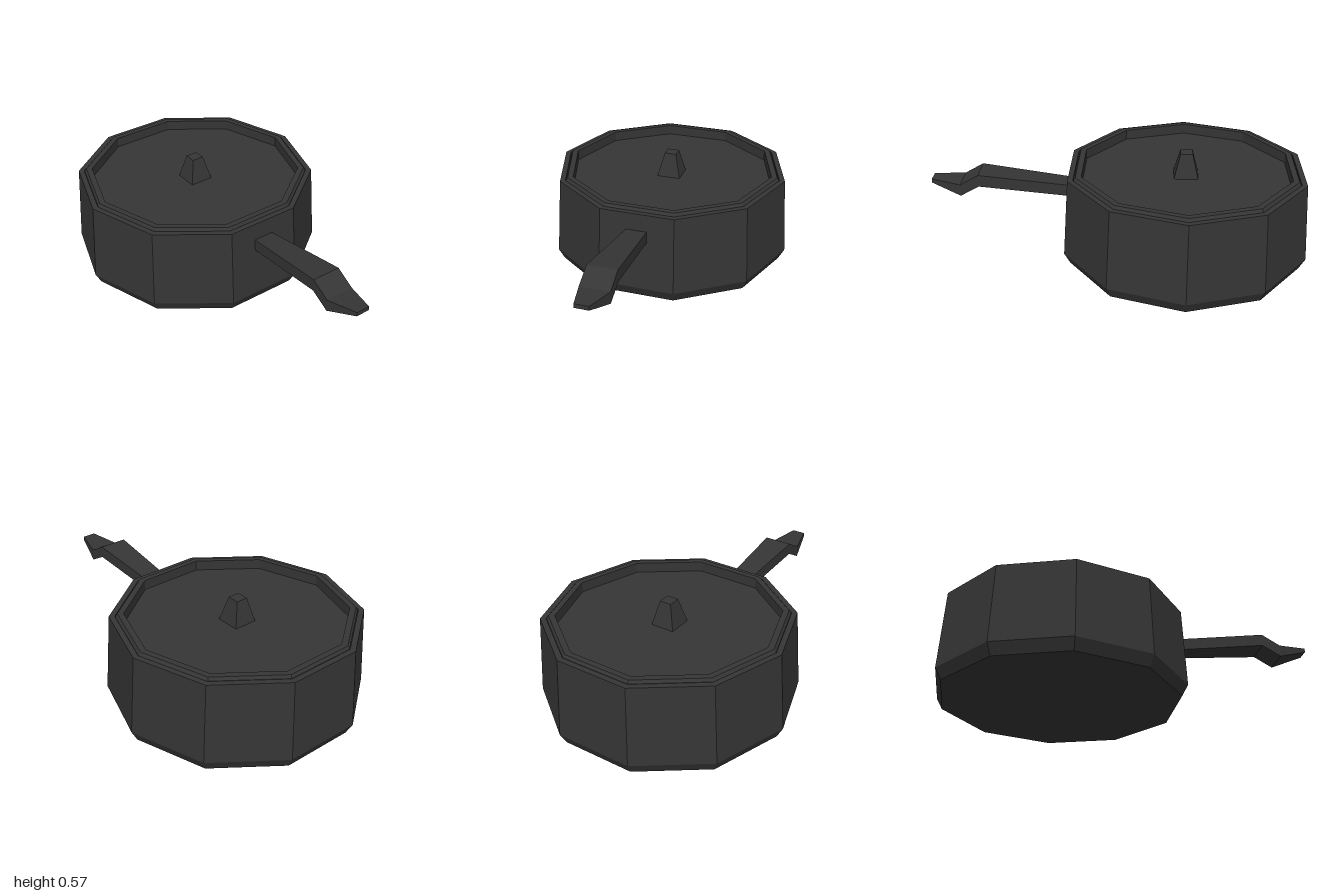
import * as THREE from 'three';

const POT_X = -0.36;

export function createModel() {
  const model = new THREE.Group();
  model.name = 'saucepan';
  const iron = new THREE.MeshStandardMaterial({ color: 0x353535, flatShading: true });
  iron.name = 'dark iron';

  const add = (name, geometry, x = 0, y = 0) => {
    const mesh = new THREE.Mesh(geometry, iron);
    mesh.name = name;
    mesh.position.set(x, y, 0);
    model.add(mesh);
  };
  // Ten-sided turned part from [radius, height] pairs
  const turned = (profile) =>
    new THREE.LatheGeometry(profile.map(([r, y]) => new THREE.Vector2(r, y)), 10);

  // Pot: chamfered foot, tapering wall and a flat lip
  add('pot', turned([
    [0, 0], [0.64, 0], [0.672, 0.06], [0.645, 0.485], [0.615, 0.485], [0.615, 0.44],
  ]), POT_X);

  // Lid: raised rim around a sunken plate
  add('lid', turned([
    [0.614, 0.44], [0.612, 0.485], [0.602, 0.5], [0.57, 0.5], [0.57, 0.445], [0, 0.445],
  ]), POT_X);

  // Knob: square, tapering upwards
  const knob = new THREE.CylinderGeometry(0.032 * Math.SQRT2, 0.064 * Math.SQRT2, 0.13, 4);
  knob.rotateY(Math.PI / 4);
  add('lidKnob', knob, POT_X, 0.51);

  // Handle: rectangular sections of [x, bottom, top, half width]
  const sections = [
    [0.24, 0.327, 0.39, 0.055],
    [0.74, 0.385, 0.45, 0.078],
    [0.84, 0.328, 0.392, 0.078],
    [1.0, 0.383, 0.405, 0.037],
  ];
  const positions = [];
  const index = [];
  sections.forEach(([x, low, high, w], i) => {
    positions.push(x, low, w, x, low, -w, x, high, -w, x, high, w);
    if (i === 0) return;
    const a = (i - 1) * 4, b = i * 4;
    for (let k = 0; k < 4; k++) {
      const n = (k + 1) % 4;
      index.push(a + k, a + n, b + n, a + k, b + n, b + k);
    }
  });
  const end = (sections.length - 1) * 4;
  index.push(0, 2, 1, 0, 3, 2, end, end + 1, end + 2, end, end + 2, end + 3);
  const handle = new THREE.BufferGeometry();
  handle.setAttribute('position', new THREE.Float32BufferAttribute(positions, 3));
  handle.setIndex(index);
  const flatHandle = handle.toNonIndexed();
  flatHandle.computeVertexNormals();
  add('handle', flatHandle);

  return model;
}
